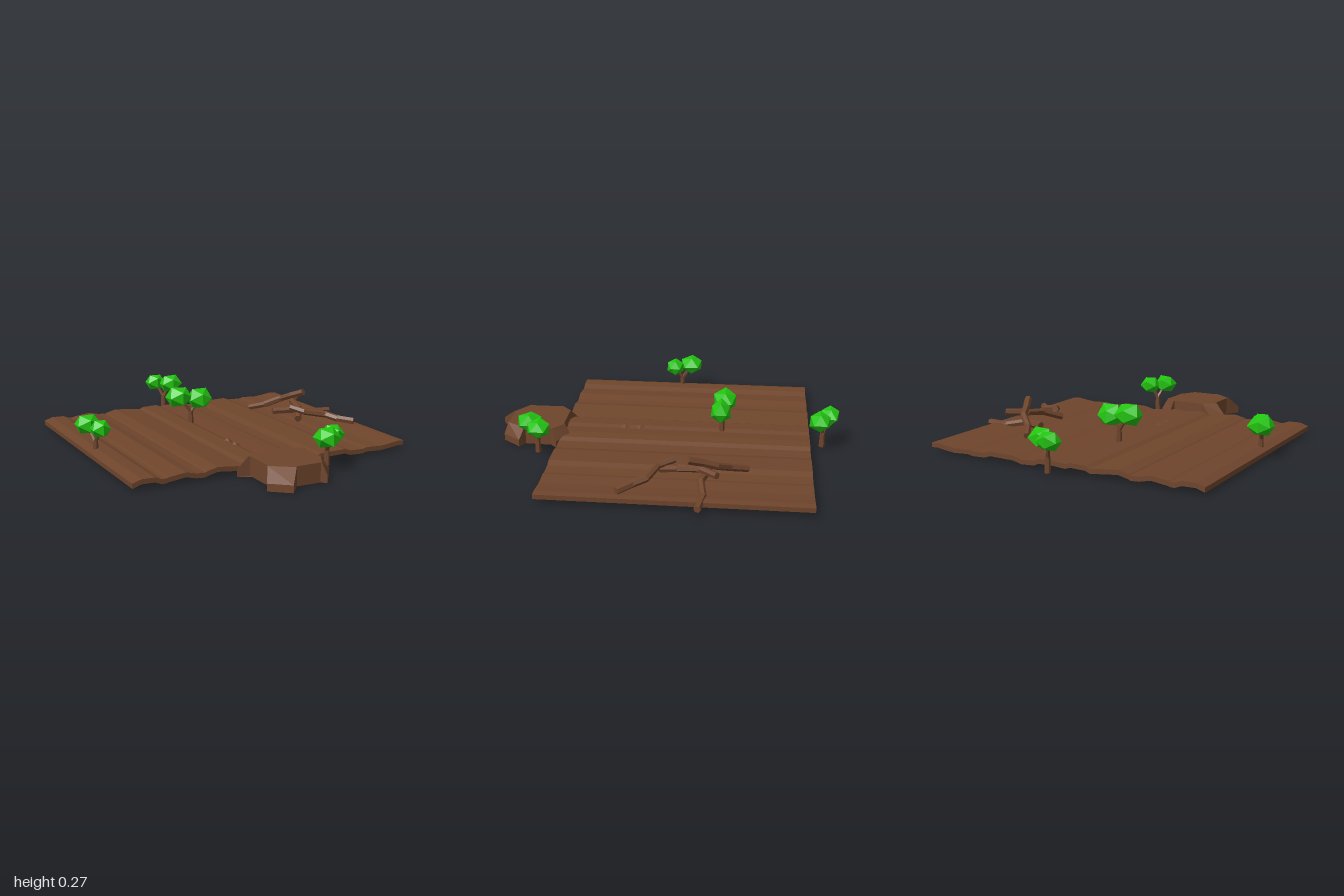
import * as THREE from 'three';

const bark = new THREE.MeshStandardMaterial({ color: 0x6f452c, flatShading: true });
bark.name = 'brown wood';
const leaf = new THREE.MeshStandardMaterial({ color: 0x22c410, flatShading: true });
leaf.name = 'leaf green';

function add(parent, geometry, material, name) {
  const mesh = new THREE.Mesh(geometry, material);
  mesh.name = name;
  parent.add(mesh);
  return mesh;
}

// Kinked, tapering stick: one closed cylinder per segment, slightly overlapping
function stick(name, points, r0, r1, sides = 6) {
  const group = new THREE.Group();
  group.name = name;
  const pts = points.map(p => new THREE.Vector3(...p));
  const n = pts.length - 1;
  for (let i = 0; i < n; i++) {
    const dir = pts[i + 1].clone().sub(pts[i]);
    const radius = k => r0 + (r1 - r0) * k / n;
    const geo = new THREE.CylinderGeometry(radius(i + 1), radius(i), dir.length() + 0.008, sides);
    const mesh = add(group, geo, bark, name + 'Segment');
    mesh.position.copy(pts[i]).addScaledVector(dir, 0.5);
    mesh.quaternion.setFromUnitVectors(new THREE.Vector3(0, 1, 0), dir.normalize());
  }
  return group;
}

// Faceted leaf clump: an icosahedron with its corners pushed in and out
function clump(center, half, seed) {
  const geo = new THREE.IcosahedronGeometry(1, 0);
  const pos = geo.attributes.position;
  const v = new THREE.Vector3();
  for (let i = 0; i < pos.count; i++) {
    v.fromBufferAttribute(pos, i);
    const h = Math.sin(Math.round(v.x * 9) * 12.99 + Math.round(v.y * 9) * 78.23 + Math.round(v.z * 9) * 37.72 + seed) * 43.7;
    v.multiplyScalar(1.1 + 0.2 * (h - Math.floor(h) - 0.5));
    v.y = Math.max(v.y, -0.9);
    pos.setXYZ(i, v.x * half[0], v.y * half[1], v.z * half[2]);
  }
  geo.translate(...center);
  geo.computeVertexNormals();
  return geo;
}

function tree(base, clumps, seed) {
  const group = new THREE.Group();
  group.name = 'tree';
  const fork = [base[0], base[1] + 0.08, base[2]];
  group.add(stick('trunk', [base, fork], 0.017, 0.014));
  clumps.forEach(([center, half], i) => {
    group.add(stick('treeBranch', [fork, center], 0.012, 0.008, 5));
    add(group, clump(center, half, seed + i * 3), leaf, 'foliage');
  });
  return group;
}

// Stump: octagonal top with four spreading root feet
function stumpGeometry() {
  // Per root: top corner, outer foot corners, top corner (x, z)
  const roots = [
    [[-0.20, 0.65], [-0.268, 0.635], [-0.205, 0.555], [-0.13, 0.585]],
    [[0.055, 0.585], [0.065, 0.545], [0.16, 0.615], [0.125, 0.65]],
    [[0.12, 0.80], [0.165, 0.83], [0.085, 0.935], [0.06, 0.91]],
    [[-0.08, 0.91], [-0.15, 0.995], [-0.25, 0.91], [-0.20, 0.825]],
  ];
  const ring = (y, reach) => roots.flatMap(([a, f, g, b]) => {
    const mix = (p, q) => [p[0] + (q[0] - p[0]) * reach, y, p[1] + (q[1] - p[1]) * reach];
    return [mix(a, a), mix(a, f), mix(b, g), mix(b, b)];
  });
  const rings = [ring(0, 1), ring(0.04, 1), ring(0.105, 0.15)];
  const verts = [];
  const tri = (...p) => p.forEach(q => verts.push(...q));
  const n = rings[0].length;
  for (let i = 0; i < n; i++) {
    const j = (i + 1) % n;
    for (let k = 0; k < 2; k++) {
      const [lo, hi] = [rings[k], rings[k + 1]];
      tri(lo[i], hi[i], hi[j]);
      tri(lo[i], hi[j], lo[j]);
    }
    tri([-0.04, 0.105, 0.75], rings[2][j], rings[2][i]);
    tri([-0.04, 0, 0.75], rings[0][i], rings[0][j]);
  }
  const geo = new THREE.BufferGeometry();
  geo.setAttribute('position', new THREE.Float32BufferAttribute(verts, 3));
  geo.computeVertexNormals();
  return geo;
}

export function createModel() {
  const model = new THREE.Group();
  model.name = 'woodlandGround';

  // Rippled ground sheet, one cross-section drawn along z
  const profile = [
    [-0.83, 0.037], [-0.78, 0.053], [-0.71, 0.052], [-0.67, 0.037], [-0.645, 0.038], [-0.635, 0.042],
    [-0.54, 0.054], [-0.48, 0.040], [-0.43, 0.037], [-0.42, 0.043], [-0.36, 0.057], [-0.28, 0.049],
    [-0.20, 0.040], [-0.17, 0.052], [-0.08, 0.055], [-0.05, 0.045], [0.04, 0.052], [0.11, 0.050],
    [0.14, 0.037], [0.22, 0.033], [0.27, 0.046], [0.42, 0.050], [0.46, 0.037], [0.54, 0.035],
    [0.57, 0.042], [0.66, 0.037], [0.72, 0.043], [0.78, 0.052], [0.82, 0.050],
  ];
  const lower = profile.map(([x, y]) => [x, y - 0.026]).reverse();
  const section = new THREE.Shape([...profile, ...lower].map(p => new THREE.Vector2(...p)));
  const ground = new THREE.ExtrudeGeometry(section, { depth: 1.44, bevelEnabled: false });
  add(model, ground.translate(0, 0, -0.84), bark, 'ground');

  // Small bumps in the ground
  for (const [x, z] of [[-0.07, 0.15], [-0.07, 0.24]]) {
    const bump = add(model, new THREE.ConeGeometry(0.035, 0.018, 4), bark, 'groundBump');
    bump.position.set(x, 0.056, z);
  }

  add(model, stumpGeometry(), bark, 'stump');

  // Pile of fallen branches
  const pile = [
    [[0.435, 0.06, -0.49], [0.49, 0.09, -0.40], [0.57, 0.135, -0.33], [0.60, 0.165, -0.26], [0.64, 0.195, -0.185]],
    [[0.875, 0.043, -0.25], [0.74, 0.045, -0.27], [0.62, 0.07, -0.25], [0.485, 0.07, -0.285]],
    [[0.69, 0.14, -0.335], [0.60, 0.13, -0.245], [0.575, 0.115, -0.13], [0.51, 0.075, -0.03]],
    [[0.505, 0.13, -0.10], [0.55, 0.115, -0.02], [0.67, 0.095, 0.03], [0.71, 0.08, 0.10], [0.775, 0.072, 0.17]],
  ];
  pile.forEach(p => model.add(stick('fallenBranch', p, 0.019, 0.022)));

  // Trees: trunk base, then centre and half size of each leaf clump
  const trees = [
    [[-0.785, 0.012, -0.04], [[[-0.81, 0.178, -0.10], [0.07, 0.055, 0.068]], [[-0.77, 0.172, 0.005], [0.056, 0.052, 0.056]]]],
    [[0.005, 0.012, -0.91], [[[-0.035, 0.185, -0.95], [0.064, 0.052, 0.05]], [[0.045, 0.18, -0.89], [0.07, 0.056, 0.06]]]],
    [[-0.07, 0.04, -0.33], [[[-0.14, 0.212, -0.345], [0.08, 0.062, 0.07]], [[-0.015, 0.195, -0.325], [0.074, 0.062, 0.06]]]],
    [[0.235, 0.012, 0.70], [[[0.20, 0.178, 0.745], [0.065, 0.055, 0.07]], [[0.28, 0.172, 0.68], [0.058, 0.052, 0.064]]]],
  ];
  trees.forEach(([base, clumps], i) => model.add(tree(base, clumps, i * 7)));

  return model;
}
